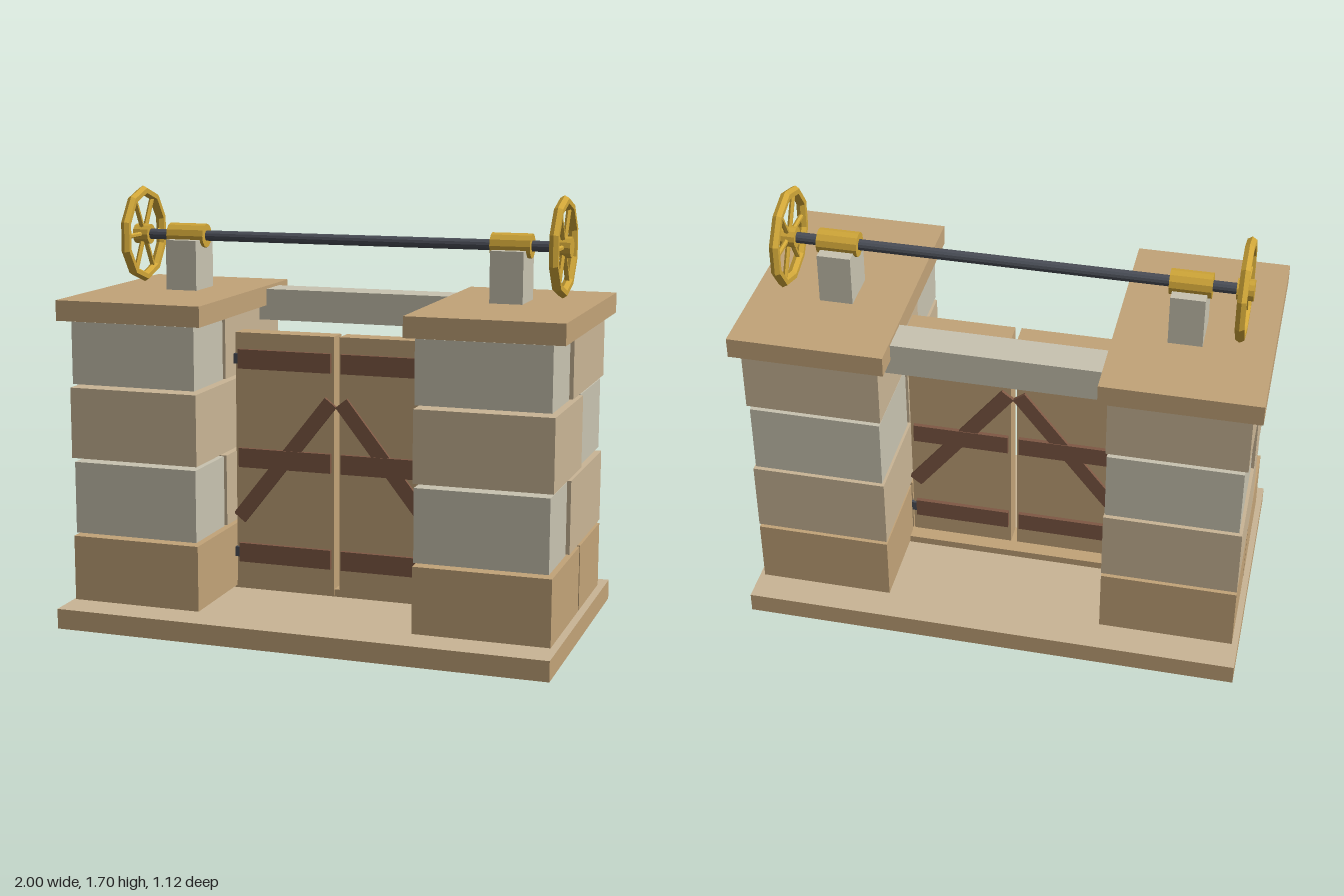
import * as THREE from 'three';

const mat = (name, color) => {
  const m = new THREE.MeshStandardMaterial({ color, flatShading: true });
  m.name = name;
  return m;
};

export function createModel() {
  const tan = mat('tan stone', 0xc2a378);
  const sand = mat('sand stone', 0xc9b595);
  const grey = mat('grey stone', 0xc8c3b0);
  const wood = mat('dark wood', 0x7e5844);
  const brass = mat('brass', 0xd0a638);
  const steel = mat('steel', 0x4a4e57);

  const model = new THREE.Group();
  model.name = 'gateway';

  const add = (parent, name, geometry, material) => {
    const mesh = new THREE.Mesh(geometry, material);
    mesh.name = name;
    parent.add(mesh);
    return mesh;
  };
  // Box given by its limits on each axis
  const box = (parent, name, material, [x0, x1], [y0, y1], [z0, z1]) => {
    const mesh = add(parent, name, new THREE.BoxGeometry(Math.abs(x1 - x0), y1 - y0, z1 - z0), material);
    mesh.position.set((x0 + x1) / 2, (y0 + y1) / 2, (z0 + z1) / 2);
    return mesh;
  };
  // Cylinder lying along x
  const rod = (parent, name, material, r, x0, x1, y, z, sides) => {
    const geo = new THREE.CylinderGeometry(r, r, Math.abs(x1 - x0), sides).rotateZ(Math.PI / 2);
    add(parent, name, geo, material).position.set((x0 + x1) / 2, y, z);
  };

  // Base slab with a paler top, and the threshold
  box(model, 'base', [tan, tan, sand, tan, tan, tan], [-0.985, 0.985], [0, 0.08], [-0.56, 0.555]);
  box(model, 'threshold', tan, [-0.44, 0.44], [0.08, 0.11], [-0.105, 0.04]);

  // Courses of the pillars: bottom, top, joint position, front stone, back stone
  const courses = [
    [0.09, 0.35, -0.052, tan, tan],
    [0.365, 0.65, 0.148, grey, sand],
    [0.665, 0.945, -0.052, sand, grey],
    [0.96, 1.205, 0.148, grey, sand],
  ];
  const axleY = 1.505, axleZ = -0.065;

  for (const s of [1, -1]) {
    const side = s > 0 ? 'left' : 'right';
    const span = (a, b) => [s * a, s * b];

    const pillar = new THREE.Group();
    pillar.name = side + 'Pillar';
    model.add(pillar);
    const stone = (m, y, z) => box(pillar, 'stoneBlock', m, m === grey ? span(0.437, 0.95) : span(0.432, 0.962), y, z);
    for (const [y0, y1, joint, front, back] of courses) {
      stone(front, [y0, y1], [joint + 0.008, 0.44]);
      stone(back, [y0, y1], [-0.44, joint - 0.008]);
    }
    box(pillar, 'capSlab', tan, span(0.4, 1), [1.21, 1.29], [-0.475, 0.47]);
    box(pillar, 'lintelPad', tan, span(0.42, 0.5), [1.2, 1.215], [-0.37, -0.23]);

    // Axle support and bearing
    box(pillar, 'axlePost', grey, span(0.605, 0.735), [1.29, 1.49], [-0.153, 0.02]);
    rod(pillar, 'bearing', brass, 0.048, s * 0.592, s * 0.75, axleY, axleZ, 12);

    // Door leaf with planks, brace and hinges on both faces
    const door = new THREE.Group();
    door.name = side + 'Door';
    model.add(door);
    box(door, 'doorLeaf', tan, span(0.012, 0.427), [0.085, 1.135], [-0.045, 0.045]);
    for (const f of [1, -1]) {
      const depth = f > 0 ? [0.043, 0.062] : [-0.062, -0.043];
      for (const y of [0.235, 0.628, 1.03]) {
        box(door, 'crossPlank', wood, span(0.022, 0.412), [y - 0.039, y + 0.039], depth);
        if (y !== 0.628) box(door, 'hinge', steel, span(0.408, 0.436), [y - 0.02, y + 0.02], f > 0 ? [0.03, 0.056] : [-0.056, -0.03]);
      }
      const dx = -0.39, dy = 0.495;
      const brace = add(door, 'brace', new THREE.BoxGeometry(0.06, Math.hypot(dx, dy), 0.016), wood);
      brace.position.set(s * 0.217, 0.627, f * 0.051);
      brace.rotation.z = s * Math.atan2(-dx, dy);
    }

    // Hand wheel: ten-sided rim, six spokes and a hub
    const wheel = new THREE.Group();
    wheel.name = side + 'Wheel';
    wheel.position.set(s * 0.87, axleY, axleZ);
    model.add(wheel);
    add(wheel, 'rim', new THREE.TorusGeometry(0.175, 0.02, 6, 10).rotateZ(Math.PI / 10).rotateY(Math.PI / 2), brass);
    rod(wheel, 'hub', brass, 0.04, -0.032, 0.032, 0, 0, 12);
    for (let i = 0; i < 6; i++) {
      const spoke = new THREE.CylinderGeometry(0.01, 0.01, 0.17, 6).translate(0, 0.085, 0);
      add(wheel, 'spoke', spoke, brass).rotation.x = Math.PI / 2 + (i * Math.PI) / 3;
    }
  }

  // Lintel at the back and the long axle
  box(model, 'lintel', grey, [-0.435, 0.435], [1.15, 1.277], [-0.37, -0.23]);
  rod(model, 'axle', steel, 0.021, -0.85, 0.85, axleY, axleZ, 12);

  return model;
}
